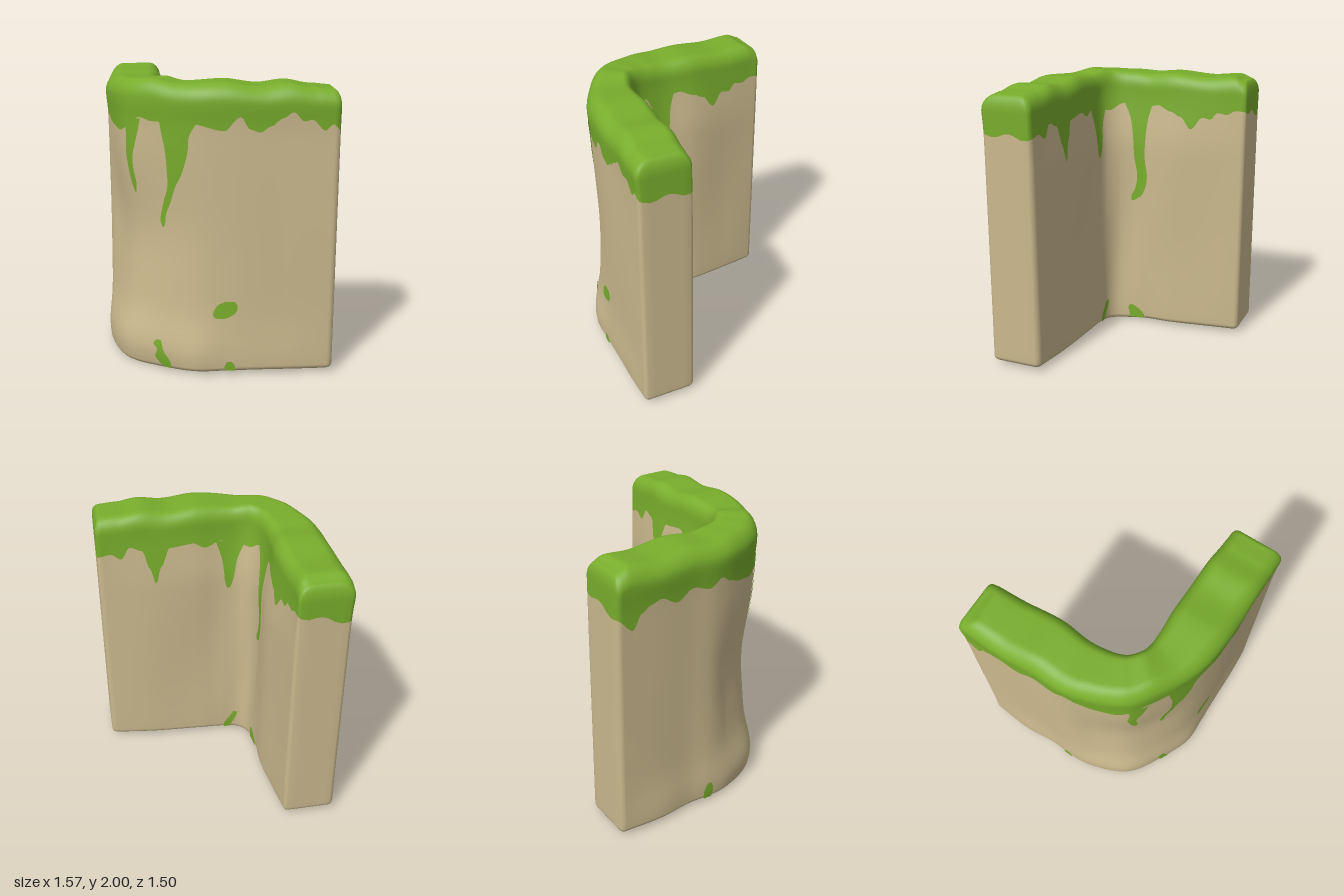
import * as THREE from 'three';
import { mergeVertices } from 'three/addons/utils/BufferGeometryUtils.js';

// Both are seen from inside too, since the wall is a hollow shell open at the bottom
const plaster = new THREE.MeshStandardMaterial({ color: 0xcbb98e, side: THREE.DoubleSide });
plaster.name = 'tan plaster';
const moss = new THREE.MeshStandardMaterial({ color: 0x78ad2c, side: THREE.DoubleSide });
moss.name = 'moss green';

// Plan of the wall: paired outer and inner curves, t runs from the back end to the right end
const curve = pts => new THREE.CatmullRomCurve3(pts.map(([x, z]) => new THREE.Vector3(x, 0, z)));
const outer = curve([[-0.755, -0.76], [-0.76, -0.45], [-0.75, -0.2], [-0.752, 0], [-0.715, 0.16], [-0.593, 0.43],
  [-0.405, 0.568], [-0.16, 0.672], [0.1, 0.71], [0.45, 0.715], [0.79, 0.715]]);
const inner = curve([[-0.39, -0.76], [-0.362, -0.5], [-0.33, -0.2], [-0.342, 0], [-0.342, 0.1], [-0.313, 0.21],
  [-0.24, 0.275], [-0.1, 0.298], [0.1, 0.295], [0.45, 0.305], [0.79, 0.348]]);

// Eased interpolation through [t, value] pairs
function ease(list, t) {
  let i = 0;
  while (i < list.length - 2 && t > list[i + 1][0]) i++;
  const [a, va] = list[i], [b, vb] = list[i + 1];
  return va + (vb - va) * THREE.MathUtils.smoothstep(t, a, b);
}

const crest = [[0, 1.95], [0.03, 1.98], [0.1, 1.965], [0.2, 1.985], [0.3, 1.97], [0.42, 1.98], [0.5, 1.99], [0.57, 2],
  [0.66, 1.975], [0.79, 1.99], [0.86, 1.965], [0.91, 1.985], [0.96, 1.96], [1, 1.95]];

// Lower edge of the moss on both faces
const fringeOuter = [[0, 1.67], [0.035, 1.58], [0.055, 1.68], [0.075, 1.72], [0.1, 1.74], [0.15, 1.68], [0.2, 1.74],
  [0.27, 1.7], [0.32, 1.75], [0.38, 1.7], [0.43, 1.66], [0.47, 1.64], [0.5, 1.67], [0.55, 1.75], [0.59, 1.73],
  [0.7, 1.73], [0.78, 1.69], [0.815, 1.78], [0.832, 1.7], [0.85, 1.68], [0.87, 1.72], [0.89, 1.77], [0.91, 1.81],
  [0.93, 1.75], [0.945, 1.76], [0.97, 1.69], [0.985, 1.73], [1, 1.69]];
const fringeInner = [[0, 1.74], [0.03, 1.74], [0.055, 1.71], [0.08, 1.72], [0.1, 1.67], [0.12, 1.68], [0.147, 1.59],
  [0.175, 1.68], [0.2, 1.71], [0.25, 1.75], [0.28, 1.74], [0.46, 1.75], [0.55, 1.7], [0.65, 1.72], [0.7, 1.74],
  [0.76, 1.7], [0.8, 1.74], [0.85, 1.72], [0.868, 1.58], [0.88, 1.44], [0.89, 1.56], [0.905, 1.71], [0.93, 1.74],
  [0.95, 1.65], [0.97, 1.69], [1, 1.67]];

const bell = (x, c, r) => Math.exp(-(((x - c) / r) ** 2));
const baseY = t => 0.03 - 0.027 * bell(t, 0.5, 0.25);

// Point on the wall: w = 1 on the outer face, -1 on the inner face, lift moves it off the face
function surface(t, w, y, lift = 0) {
  const a = inner.getPoint(t), b = outer.getPoint(t);
  const dir = b.clone().sub(a), half = dir.length() / 2;
  dir.normalize();
  const corner = bell(t, 0.52, 0.17), mid = Math.sqrt(Math.max(0, Math.sin(Math.PI * t)));
  const wave = 0.005 * mid * Math.sin(19 * t + 3.3 * y);
  const foot = 0.02 + 0.02 * bell(t, 0.1, 0.07) + 0.025 * bell(t, 0.71, 0.06) + 0.012 * bell(t, 0.92, 0.06);
  const swell = w > 0
    ? wave + 0.01 * bell(y, 1.86, 0.1) + foot * mid * bell(y, 0.1, 0.2)
      + 0.045 * corner * bell(y, 0.17, 0.2) - 0.055 * corner * bell(y, 0.97, 0.4)
    : wave + 0.012 * mid * bell(y, 0.1, 0.4) - 0.042 * mid * THREE.MathUtils.smoothstep(y, 1.4, 1.88);
  const p = a.add(b).multiplyScalar(0.5).addScaledVector(dir, w * (half + swell) + Math.sign(w) * lift);
  p.y = y;
  return p;
}

// Horizontal loop of [t, w] around the wall, with softened end corners
function wallLoop() {
  const N = 240, end = [[0, 0.1], [0, 0.35], [0, 0.6], [0, 0.86], [0.0025, 0.955]];
  const side = [...end];
  for (let i = 0; i <= N; i++) side.push([0.008 + 0.984 * i / N, 1]);
  side.push(...end.map(([t, w]) => [1 - t, w]).reverse());
  return [...side, ...side.map(([t, w]) => [t, -w]).reverse()];
}

function buildWall() {
  const loop = wallLoop(), n = loop.length;
  const rows = [];                       // each row gives [inset, height] at a place
  for (const [k, dy] of [[0.1, 0], [0.04, 0.01], [0.01, 0.022]])
    rows.push((t) => [k, baseY(t) + dy]);
  const body = 26, cap = 6, arc = 8;
  for (let i = 0; i <= body; i++)
    rows.push((t, h) => [0, THREE.MathUtils.lerp(baseY(t) + 0.035, h, i / body)]);
  const split = rows.length - 1;
  for (let i = 1; i <= cap; i++)
    rows.push((t, h) => [0, THREE.MathUtils.lerp(h, ease(crest, t) - 0.11, i / cap)]);
  for (let i = 1; i <= arc; i++) {
    const q = i / arc * Math.PI / 2;
    rows.push(t => [0.5 * (1 - Math.cos(q)), ease(crest, t) - 0.11 * (1 - Math.sin(q))]);
  }
  rows.push(t => [0.75, ease(crest, t)], t => [1, ease(crest, t)]);

  const pos = [], index = [];
  rows.forEach((row, r) => loop.forEach(([t, w]) => {
    const h = THREE.MathUtils.lerp(ease(fringeInner, t), ease(fringeOuter, t), (w + 1) / 2)
      + 0.02 * (1 - w ** 4) * Math.cos(4.5 * (w + 0.1));
    const [k, y] = row(t, h);
    const e = Math.min(k, 0.5) * (r > split ? 0.03 : 0.06);
    pos.push(...surface(e + t * (1 - 2 * e), w * (1 - k), y).toArray());
  }));
  for (let r = 0; r < rows.length - 1; r++) for (let s = 0; s < n; s++) {
    const a = r * n + s, b = r * n + (s + 1) % n;
    index.push(a, b, b + n, a, b + n, a + n);
  }
  let g = new THREE.BufferGeometry();
  g.setAttribute('position', new THREE.Float32BufferAttribute(pos, 3));
  g.setIndex(index);
  g = mergeVertices(g, 1e-5);
  g.addGroup(0, split * n * 6, 0);
  g.addGroup(split * n * 6, index.length - split * n * 6, 1);
  g.computeVertexNormals();
  const mesh = new THREE.Mesh(g, [plaster, moss]);
  mesh.name = 'cornerWallWithMossCap';
  return mesh;
}

// Thin moss patch on face w, from rows of [height, left t, right t]
function patch(name, rows, w, lift = 0.005) {
  const path = new THREE.CatmullRomCurve3(rows.map(r => new THREE.Vector3(...r)));
  const R = rows.length * 5, C = 8, pos = [], index = [];
  for (let r = 0; r <= R; r++) {
    const p = path.getPoint(r / R);
    for (let c = 0; c <= C; c++) pos.push(...surface(THREE.MathUtils.lerp(p.y, p.z, c / C), w, p.x, lift).toArray());
  }
  for (let r = 0; r < R; r++) for (let c = 0; c < C; c++) {
    const a = r * (C + 1) + c, b = a + C + 1;
    index.push(a, b, b + 1, a, b + 1, a + 1);
  }
  const g = new THREE.BufferGeometry();
  g.setAttribute('position', new THREE.Float32BufferAttribute(pos, 3));
  g.setIndex(index);
  g.computeVertexNormals();
  const mesh = new THREE.Mesh(g, moss);
  mesh.name = name;
  return mesh;
}

export function createModel() {
  const model = new THREE.Group();
  model.name = 'mossyCornerWall';
  model.add(buildWall());

  // Long drips hanging from the cap
  model.add(
    patch('frontLongDrip', [[1.77, 0.613, 0.72], [1.65, 0.62, 0.692], [1.55, 0.628, 0.688], [1.4, 0.632, 0.672],
      [1.3, 0.632, 0.653], [1.2, 0.62, 0.64], [1.1, 0.609, 0.624], [1.05, 0.607, 0.622], [1.015, 0.613, 0.617]], 1),
    patch('cornerDrip', [[1.74, 0.497, 0.555], [1.6, 0.5, 0.538], [1.5, 0.496, 0.524], [1.4, 0.5, 0.521],
      [1.3, 0.508, 0.528], [1.23, 0.518, 0.524]], 1),
    patch('innerLongDrip', [[1.77, 0.46, 0.27], [1.65, 0.42, 0.29], [1.5, 0.4, 0.3], [1.35, 0.39, 0.303],
      [1.2, 0.365, 0.29], [1.1, 0.38, 0.3], [1.04, 0.41, 0.33], [1, 0.41, 0.39]], -1),
    patch('innerCornerDrip', [[1.74, 0.72, 0.58], [1.6, 0.695, 0.62], [1.5, 0.685, 0.63], [1.42, 0.68, 0.64],
      [1.36, 0.67, 0.655]], -1),
    patch('frontSpot', [[0.53, 0.784, 0.805], [0.5, 0.764, 0.811], [0.45, 0.753, 0.807], [0.42, 0.754, 0.794],
      [0.405, 0.764, 0.778]], 1));

  // Moss soaked through near the ground, showing on the outside and the inside of the shell
  const soaked = [
    ['frontCornerSpot', [[0.225, 0.606, 0.618], [0.19, 0.598, 0.622], [0.16, 0.608, 0.624], [0.13, 0.606, 0.63],
      [0.1, 0.602, 0.638], [0.06, 0.612, 0.644], [0.025, 0.626, 0.644]], 1],
    ['frontBaseSpot', [[0.1, 0.788, 0.8], [0.07, 0.782, 0.806], [0.035, 0.784, 0.806]], 1],
    ['leftBaseSpot', [[0.16, 0.28, 0.295], [0.1, 0.265, 0.305], [0.03, 0.265, 0.3]], 1],
    ['innerBaseSpot', [[0.13, 0.42, 0.39], [0.1, 0.43, 0.34], [0.06, 0.42, 0.3], [0.025, 0.42, 0.3]], -1],
    ['innerCornerSpot', [[0.18, 0.625, 0.595], [0.12, 0.65, 0.61], [0.07, 0.675, 0.63], [0.025, 0.68, 0.645]], -1]];
  for (const [name, rows, w] of soaked)
    model.add(patch(name, rows, w), patch(name + 'Inside', rows, w, -0.005));
  return model;
}
